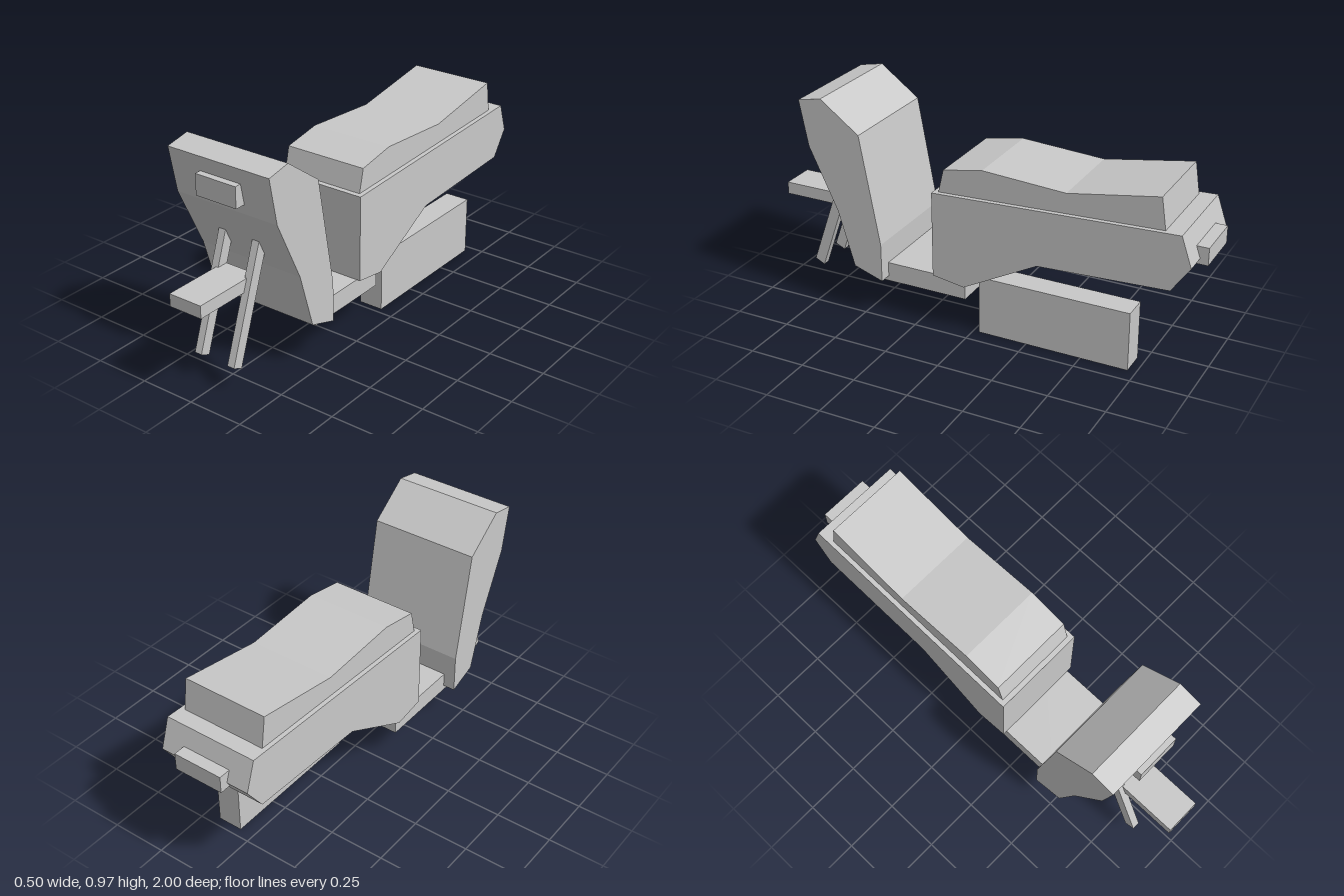
import * as THREE from 'three';

export function createModel() {
  const group = new THREE.Group();
  group.name = 'scooter';
  const grey = new THREE.MeshStandardMaterial({ color: 0xc8c8c8 });
  grey.name = 'light grey';

  const add = (name, geometry) => {
    const mesh = new THREE.Mesh(geometry, grey);
    mesh.name = name;
    group.add(mesh);
    return mesh;
  };

  // Side profile of [z, y] points, extruded across x from x0 to x1
  const profile = (name, points, x0, x1) => {
    const shape = new THREE.Shape(points.map(([z, y]) => new THREE.Vector2(-z, y)));
    const geometry = new THREE.ExtrudeGeometry(shape, { depth: x1 - x0, bevelEnabled: false });
    geometry.rotateY(Math.PI / 2).translate(x0, 0, 0);
    return add(name, geometry);
  };

  // Box given by its limits on each axis
  const box = (name, [x0, x1], [y0, y1], [z0, z1]) => {
    const geometry = new THREE.BoxGeometry(x1 - x0, y1 - y0, z1 - z0);
    geometry.translate((x0 + x1) / 2, (y0 + y1) / 2, (z0 + z1) / 2);
    return add(name, geometry);
  };

  // Front leg shield
  profile('legShield', [
    [0.79, 0.95], [0.68, 0.972], [0.5, 0.84], [0.41, 0.35],
    [0.41, 0.175], [0.545, 0.22], [0.62, 0.47], [0.75, 0.745],
  ], -0.25, 0.25);
  box('headlight', [-0.1, 0.1], [0.79, 0.882], [0.72, 0.806]);

  // Front fork and mudguard
  for (const [name, x] of [['rightFork', -0.103], ['leftFork', 0.067]]) {
    profile(name, [[0.855, 0.117], [0.81, 0.095], [0.635, 0.59], [0.68, 0.612]], x, x + 0.034);
  }
  box('frontMudguard', [-0.08, 0.077], [0.402, 0.458], [0.685, 1]);

  // Floor and rear body
  box('floorboard', [-0.195, 0.193], [0.152, 0.24], [0.032, 0.455]);
  profile('rearBody', [
    [0.177, 0.63], [0.177, 0.243], [0.03, 0.22], [-0.31, 0.402],
    [-0.885, 0.43], [-0.965, 0.545], [-0.92, 0.677],
  ], -0.215, 0.213);
  profile('seat', [
    [0.157, 0.62], [0.13, 0.735], [-0.05, 0.768], [-0.425, 0.745],
    [-0.825, 0.813], [-0.847, 0.665],
  ], -0.195, 0.192);
  box('tailLight', [-0.115, 0.112], [0.52, 0.597], [-1, -0.92]);

  // Engine block on the left side
  box('engine', [0.067, 0.18], [0, 0.267], [-0.713, -0.027]);

  return group;
}
